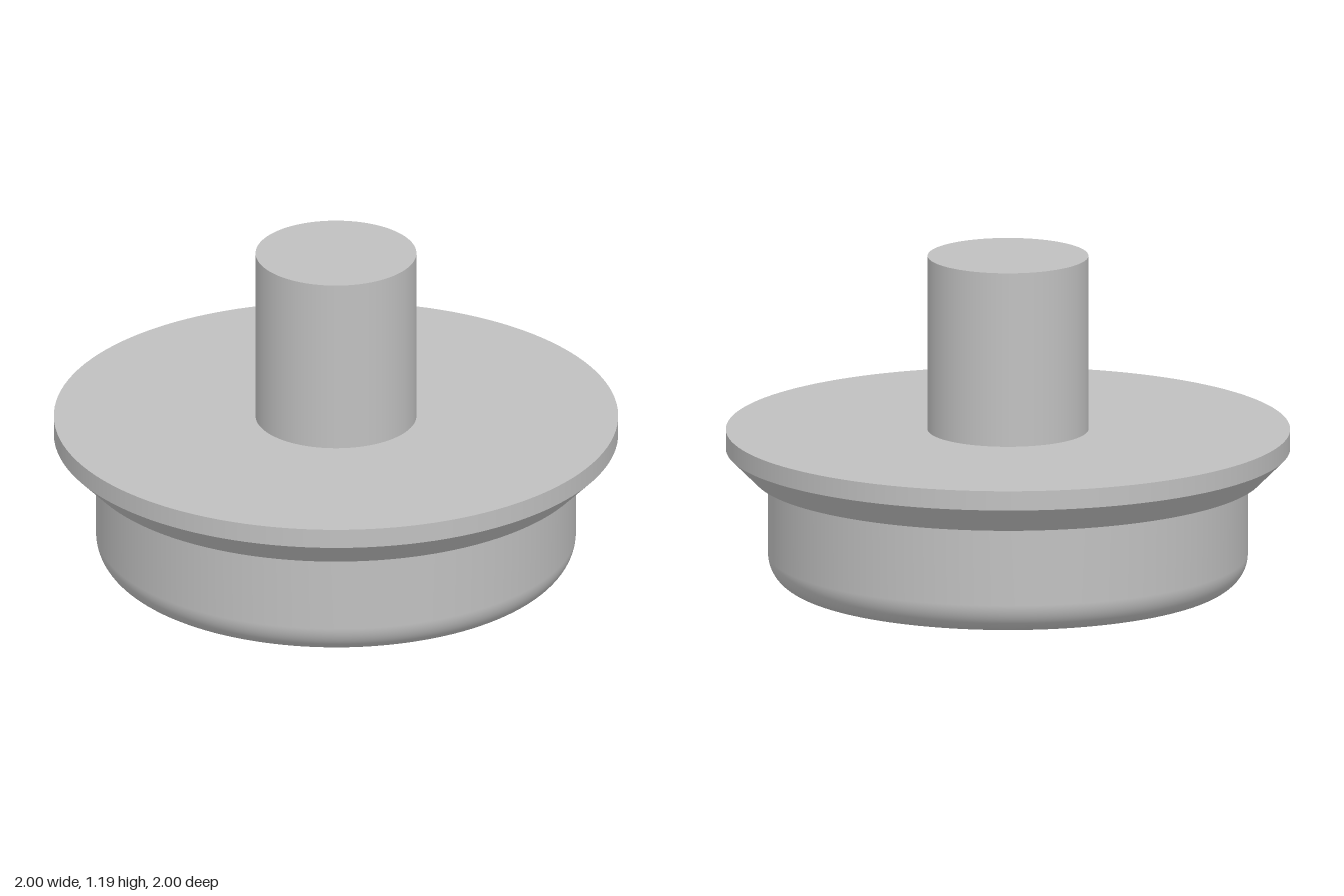
import * as THREE from 'three';
import { mergeGeometries } from 'three/addons/utils/BufferGeometryUtils.js';

const SEGMENTS = 128;

// Each run of [radius, y] points is smooth; edges between runs stay sharp.
function turned(name, material, runs) {
  const parts = runs.map((run) =>
    new THREE.LatheGeometry(run.map(([r, y]) => new THREE.Vector2(r, y)), SEGMENTS));
  const mesh = new THREE.Mesh(mergeGeometries(parts), material);
  mesh.name = name;
  return mesh;
}

export function createModel() {
  const group = new THREE.Group();
  group.name = 'flangedKnob';
  const grey = new THREE.MeshStandardMaterial({ color: 0xc0c0c0 });
  grey.name = 'plain grey';

  const baseRadius = 0.85, fillet = 0.11;
  const rimRadius = 1, lipRadius = 0.905;
  const lipY = 0.395, chamferY = 0.49, flangeTop = 0.56;
  const stemRadius = 0.285, stemTop = 1.19;

  // Round base with a filleted bottom edge
  const baseProfile = [[0, 0]];
  for (let i = 0; i <= 16; i++) {
    const a = (i / 16) * Math.PI / 2;
    baseProfile.push([
      baseRadius - fillet + fillet * Math.sin(a),
      fillet - fillet * Math.cos(a),
    ]);
  }
  baseProfile.push([baseRadius, lipY]);
  group.add(turned('base', grey, [baseProfile]));

  // Wide flange, chamfered underneath
  group.add(turned('flange', grey, [
    [[baseRadius, lipY], [lipRadius, lipY]],
    [[lipRadius, lipY], [rimRadius, chamferY]],
    [[rimRadius, chamferY], [rimRadius, flangeTop]],
    [[rimRadius, flangeTop], [stemRadius, flangeTop]],
  ]));

  // Upright cylindrical stem
  group.add(turned('stem', grey, [
    [[stemRadius, flangeTop], [stemRadius, stemTop]],
    [[stemRadius, stemTop], [0, stemTop]],
  ]));

  return group;
}
